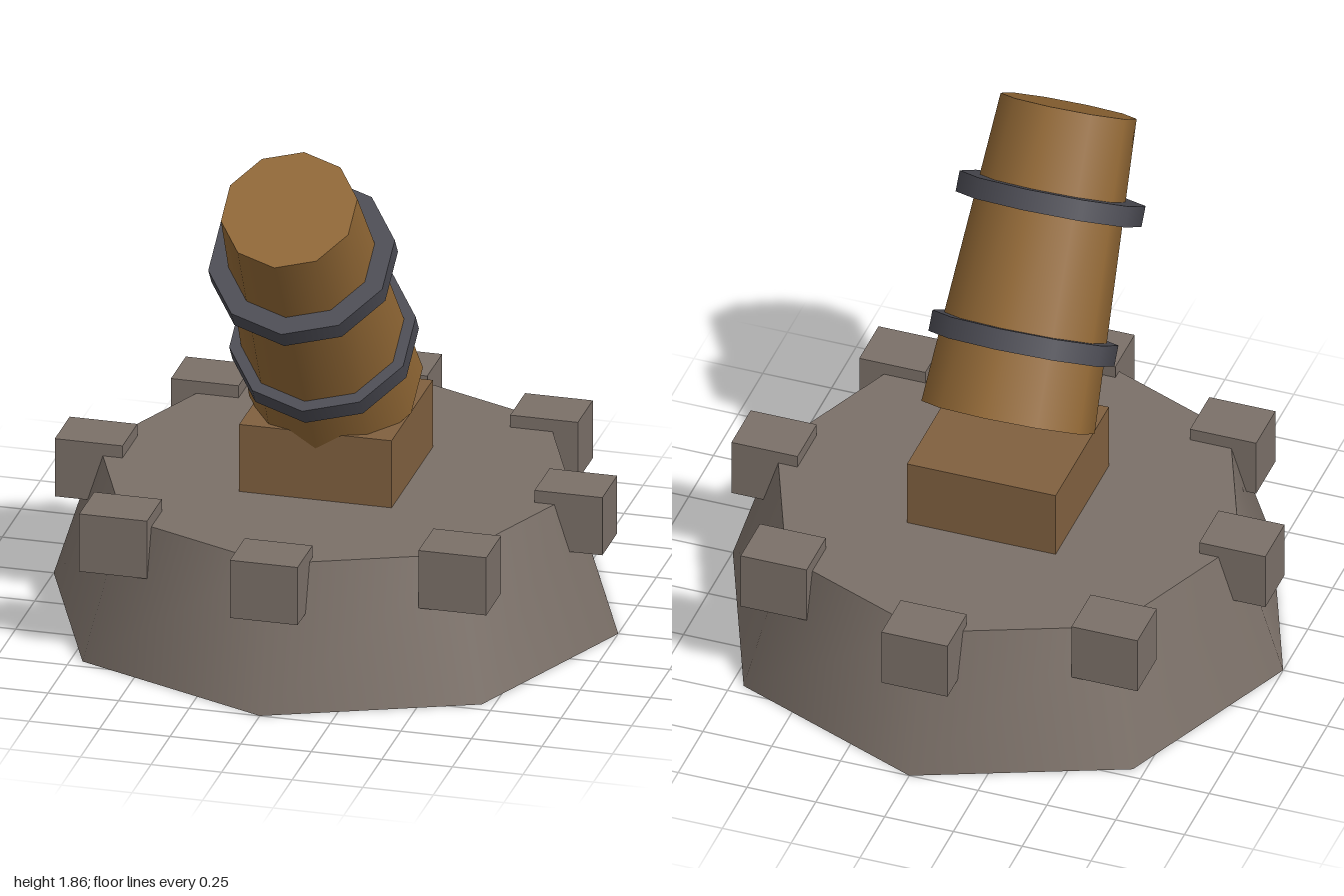
import * as THREE from 'three';

export function createModel() {
  const root = new THREE.Group();
  root.name = 'mortarTurret';

  const material = (name, color) => {
    const m = new THREE.MeshStandardMaterial({ color });
    m.name = name;
    return m;
  };
  const stone = material('stone', 0x7b7068);
  const blockWood = material('blockWood', 0x80603f);
  const barrelWood = material('barrelWood', 0x8f6634);
  const iron = material('iron', 0x4a4a52);

  const add = (parent, name, geometry, mat, x, y, z) => {
    const mesh = new THREE.Mesh(geometry, mat);
    mesh.name = name;
    mesh.position.set(x, y, z);
    parent.add(mesh);
    return mesh;
  };

  // Tapered octagonal stone platform
  add(root, 'platform', new THREE.CylinderGeometry(0.84, 1, 0.5, 8), stone, 0, 0.25, 0);

  // Axis-aligned battlement blocks around the rim
  const battlements = new THREE.Group();
  battlements.name = 'battlements';
  root.add(battlements);
  const merlon = new THREE.BoxGeometry(0.24, 0.215, 0.195);
  for (let i = 0; i < 8; i++) {
    const a = (i * Math.PI) / 4;
    add(battlements, 'merlon', merlon, stone, Math.sin(a) * 0.85, 0.4375, Math.cos(a) * 0.85);
  }

  // Wooden mounting block
  add(root, 'mountBlock', new THREE.BoxGeometry(0.54, 0.25, 0.54), blockWood, 0, 0.625, 0);

  // Barrel tilted forward, with its origin at the centre of the breech
  const mortar = new THREE.Group();
  mortar.name = 'mortar';
  mortar.position.set(0, 0.827, 0);
  mortar.rotation.x = 0.6;
  root.add(mortar);
  add(mortar, 'barrel', new THREE.CylinderGeometry(0.237, 0.302, 1.088, 10), barrelWood, 0, 0.544, 0);

  // Iron hoops
  const hoop = new THREE.CylinderGeometry(0.324, 0.324, 0.073, 10);
  for (const y of [0.277, 0.764]) add(mortar, 'hoop', hoop, iron, 0, y, 0);

  return root;
}
